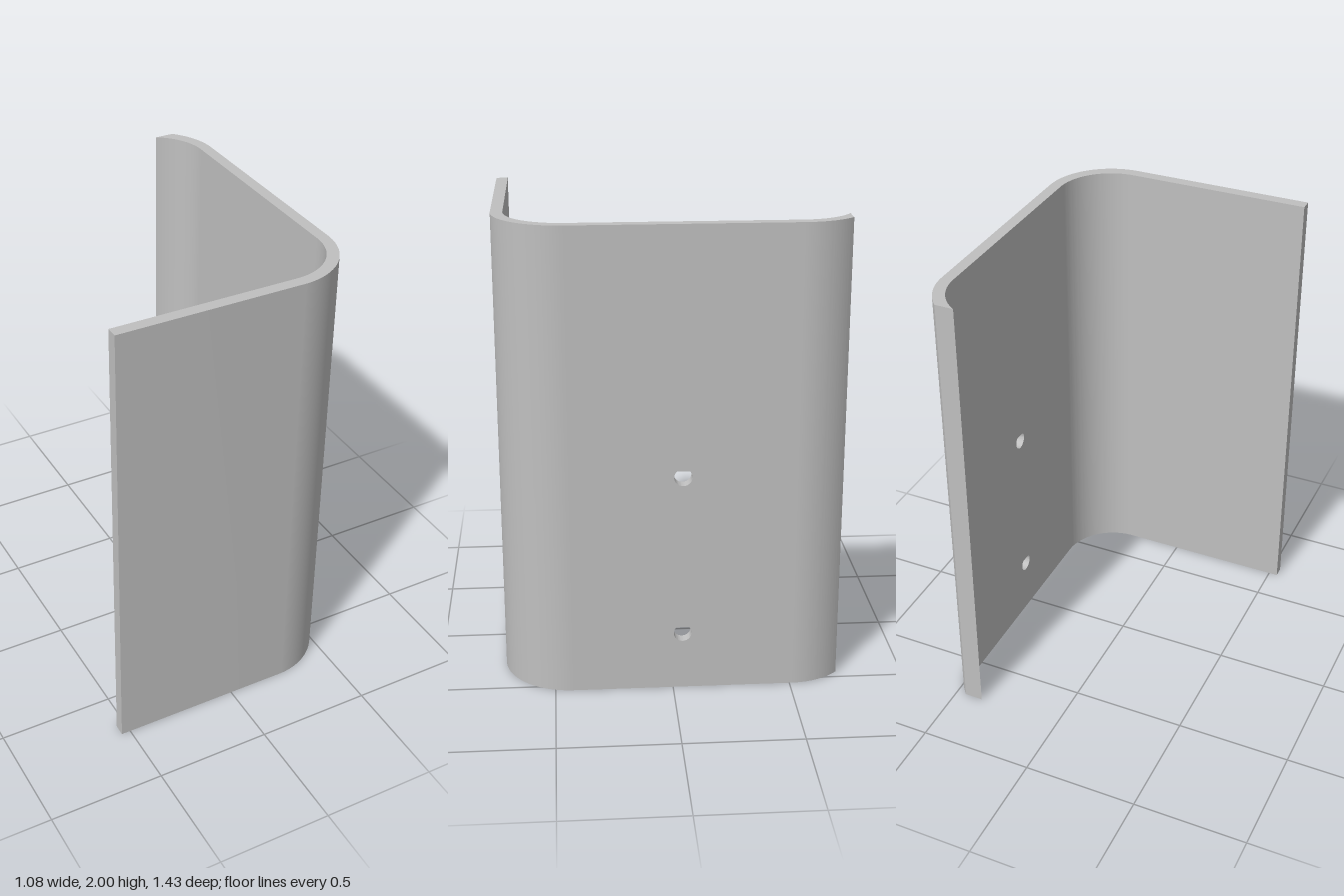
import * as THREE from 'three';
import { toCreasedNormals } from 'three/addons/utils/BufferGeometryUtils.js';

const HEIGHT = 2;
const OUTER_X = 0.54, INNER_X = 0.49;       // web faces
const OUTER_Z = 0.715, INNER_Z = 0.665;     // front flange faces
const BEND_X = 0.25, FRONT_BEND_Z = 0.425, BACK_BEND_Z = -0.51;
const R_OUT = 0.29, R_IN = 0.24;            // bend radii

// Extrudes a plan outline (x, -z) upwards
function upright(shape) {
  const geo = new THREE.ExtrudeGeometry(shape, { depth: HEIGHT, bevelEnabled: false, curveSegments: 24 });
  geo.rotateX(-Math.PI / 2);
  return toCreasedNormals(geo, 0.5);
}

// Round hole with a pointed 45 degree roof, printable upright
function teardrop(u, v, r) {
  const hole = new THREE.Path();
  hole.moveTo(u, v + r * Math.SQRT2);
  hole.absarc(u, v, r, Math.PI / 4, Math.PI * 3 / 4, true);
  hole.closePath();
  return hole;
}

export function createModel() {
  const model = new THREE.Group();
  model.name = 'bentBracket';
  const grey = new THREE.MeshStandardMaterial({ color: 0xc0c0c0 });
  grey.name = 'light grey';

  const add = (name, geometry) => {
    const mesh = new THREE.Mesh(geometry, grey);
    mesh.name = name;
    model.add(mesh);
    return mesh;
  };

  // Front flange with the rounded corner
  const flange = new THREE.Shape();
  flange.moveTo(-0.54, -OUTER_Z);
  flange.lineTo(BEND_X, -OUTER_Z);
  flange.absarc(BEND_X, -FRONT_BEND_Z, R_OUT, -Math.PI / 2, 0, false);
  flange.lineTo(INNER_X, -FRONT_BEND_Z);
  flange.absarc(BEND_X, -FRONT_BEND_Z, R_IN, 0, -Math.PI / 2, true);
  flange.lineTo(-0.54, -INNER_Z);
  flange.closePath();
  add('frontFlange', upright(flange));

  // Side web with two screw holes, drawn as (-z, y)
  const web = new THREE.Shape();
  web.moveTo(-FRONT_BEND_Z, 0);
  web.lineTo(-BACK_BEND_Z, 0);
  web.lineTo(-BACK_BEND_Z, HEIGHT);
  web.lineTo(-FRONT_BEND_Z, HEIGHT);
  web.closePath();
  for (const y of [0.255, 0.957]) web.holes.push(teardrop(0.04, y, 0.0375));
  const webGeo = new THREE.ExtrudeGeometry(web, { depth: OUTER_X - INNER_X, bevelEnabled: false, curveSegments: 24 });
  webGeo.rotateY(Math.PI / 2);
  add('sideWeb', toCreasedNormals(webGeo, 0.5)).position.x = INNER_X;

  // Curled back lip, cut off flat at the rear
  const rise = OUTER_Z + BACK_BEND_Z;
  const lip = new THREE.Shape();
  lip.moveTo(OUTER_X, -BACK_BEND_Z);
  lip.absarc(BEND_X, -BACK_BEND_Z, R_OUT, 0, Math.asin(rise / R_OUT), false);
  lip.absarc(BEND_X, -BACK_BEND_Z, R_IN, Math.asin(rise / R_IN), 0, true);
  lip.closePath();
  add('backLip', upright(lip));

  return model;
}
